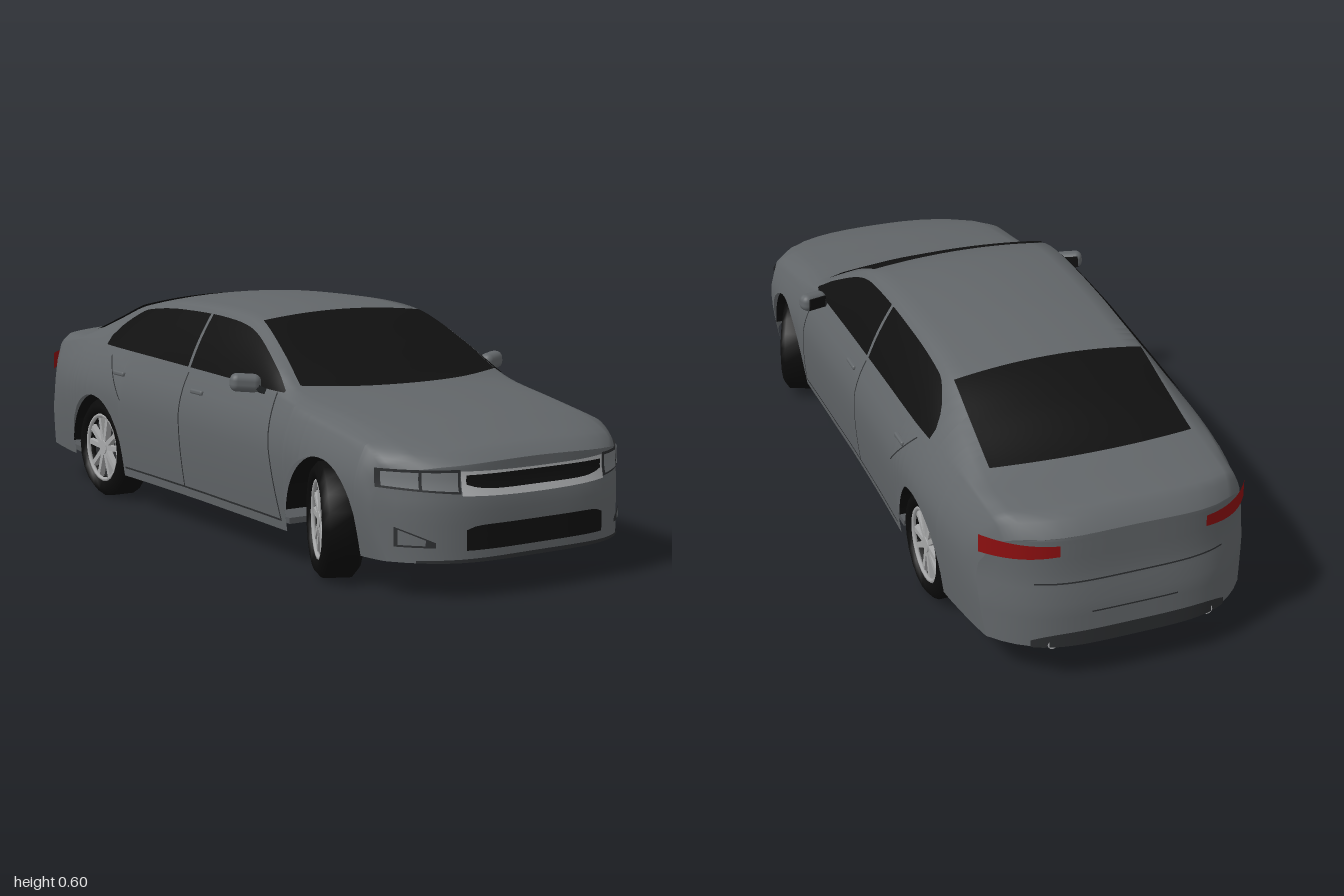
import * as THREE from 'three';
import { RoundedBoxGeometry } from 'three/addons/geometries/RoundedBoxGeometry.js';

const mat = (name, color) => new THREE.MeshStandardMaterial({ name, color, side: THREE.DoubleSide });
const lerp = THREE.MathUtils.lerp, clamp = THREE.MathUtils.clamp;

// Stations: z, half width, shoulder y, shoulder x, roof edge y, roof edge x, centre y
const STATIONS = [
  [-0.99, .345, .370, .300, .385, .260, .395], [-0.96, .350, .400, .305, .422, .265, .433],
  [-0.88, .360, .410, .310, .432, .272, .446], [-0.76, .372, .425, .318, .443, .275, .460],
  [-0.60, .385, .435, .330, .495, .262, .522], [-0.46, .386, .435, .336, .545, .252, .566],
  [-0.35, .384, .430, .338, .565, .250, .585], [-0.20, .380, .425, .338, .576, .252, .598],
  [0.05, .378, .420, .338, .576, .256, .595], [0.19, .380, .415, .340, .556, .262, .574],
  [0.35, .382, .410, .343, .482, .292, .502], [0.44, .384, .400, .347, .428, .305, .455],
  [0.50, .385, .390, .350, .410, .300, .425], [0.65, .385, .365, .350, .390, .295, .402],
  [0.80, .380, .342, .350, .364, .290, .380], [0.90, .372, .318, .350, .342, .288, .355],
  [0.96, .365, .300, .345, .322, .280, .335], [0.985, .360, .290, .335, .305, .250, .315],
];
const FRONT = 0.985, REAR = -0.99, AXLES = [0.64, -0.53], ARCH = 0.155, HUB_Y = 0.14;

// Smooth interpolation of the station table
function station(z) {
  const n = STATIONS.length;
  let i = 0;
  while (i < n - 2 && z > STATIONS[i + 1][0]) i++;
  const at = k => STATIONS[clamp(k, 0, n - 1)];
  const a = at(i), b = at(i + 1), h = b[0] - a[0], t = clamp((z - a[0]) / h, 0, 1);
  const slope = (k, c) => (at(k + 1)[c] - at(k - 1)[c]) / (at(k + 1)[0] - at(k - 1)[0]);
  const v = c => {
    const t2 = t * t, t3 = t2 * t;
    return (2 * t3 - 3 * t2 + 1) * a[c] + (t3 - 2 * t2 + t) * h * slope(i, c)
      + (3 * t2 - 2 * t3) * b[c] + (t3 - t2) * h * slope(i + 1, c);
  };
  return { W: v(1), yS: v(2), xS: v(3), yR: v(4), xR: v(5), yC: v(6) };
}

// Half width of the body at height y
function sideX(y, z) {
  const s = station(z);
  if (y > s.yS) {
    const t = clamp((y - s.yS) / (s.yR - s.yS), 0, 1);
    return lerp(s.xS, s.xR, t) + 0.006 * Math.sin(Math.PI * t);
  }
  const t = (y - 0.085) / (s.yS - 0.085);
  if (t < 0.62) return s.W * (0.95 + 0.05 * Math.sin(t / 0.62 * Math.PI / 2));
  return s.W + (s.xS - s.W) * Math.pow((t - 0.62) / 0.38, 1.8);
}
// Height of the hood, roof and boot at x
function topY(x, z) {
  const s = station(z);
  return s.yR + (s.yC - s.yR) * (1 - Math.min(1, (x / s.xR) ** 2));
}
// Rounds the nose and tail in plan and swells the bumpers
function bend(x, y, z) {
  const t = z > 0.8 ? (z - 0.8) / 0.185 : z < -0.72 ? (z + 0.72) / 0.27 : 0;
  const c = t > 0 ? 0.15 : 0.13;
  return z - t * (c * (x / station(z).W) ** 4 - 0.012 * clamp((0.27 - y) / 0.05, 0, 1));
}
// Lower edge of the body, rising over the wheels
function bottomY(z) {
  for (const w of AXLES) {
    const d = Math.abs(z - w);
    if (d <= ARCH + 1e-5) return HUB_Y + Math.sqrt(Math.max(0, ARCH * ARCH - d * d));
  }
  return z < -0.6 ? 0.1 : 0.085;
}
function halfSection(z) {
  const s = station(z), yb = bottomY(z), pts = [];
  for (let i = 0; i <= 7; i++) { const y = lerp(yb, s.yS, i / 7); pts.push([sideX(y, z), y]); }
  for (let i = 1; i <= 4; i++) { const y = lerp(s.yS, s.yR, i / 4); pts.push([sideX(y, z), y]); }
  for (let i = 1; i <= 6; i++) { const x = s.xR * (1 - i / 6); pts.push([x, topY(x, z)]); }
  return pts;
}

// Surface from rows of points
function sheet(rows) {
  const n = rows[0].length, idx = [];
  for (let i = 0; i < rows.length - 1; i++) for (let j = 0; j < n - 1; j++) {
    const a = i * n + j, b = a + n;
    idx.push(a, b, a + 1, b, b + 1, a + 1);
  }
  const g = new THREE.BufferGeometry();
  g.setAttribute('position', new THREE.Float32BufferAttribute(rows.flat(2), 3));
  g.setIndex(idx);
  g.computeVertexNormals();
  return g;
}
const patch = (fn, nu, nv) => sheet(Array.from({ length: nv + 1 }, (_, j) =>
  Array.from({ length: nu + 1 }, (_, i) => fn(i / nu, j / nv))));

export function createModel() {
  const car = new THREE.Group();
  car.name = 'car';
  const paint = mat('grey paint', 0x626669), glass = mat('black glass', 0x101010),
    rubber = mat('tyre rubber', 0x0b0b0b), alloy = mat('alloy', 0xa8a9aa),
    chrome = mat('chrome', 0xb4b6b8), lens = mat('lamp lens', 0x777b7e),
    trim = mat('dark trim', 0x2c2e30), red = mat('red lamp', 0x8c0f10), under = mat('underbody', 0x55585b);
  const add = (name, geo, m, parent = car, pos = [0, 0, 0], rot = [0, 0, 0]) => {
    const o = new THREE.Mesh(geo, m);
    o.name = name; o.position.set(...pos); o.rotation.set(...rot);
    parent.add(o);
    return o;
  };

  // Body shell
  const zs = [];
  for (let i = 0; i <= 80; i++) zs.push(lerp(REAR, FRONT, i / 80));
  for (const w of AXLES) {
    for (let k = 0; k <= 12; k++) zs.push(w + ARCH * Math.cos(k * Math.PI / 12));
    zs.push(w - ARCH - 0.001, w + ARCH + 0.001);
  }
  zs.sort((a, b) => a - b);
  add('bodyShell', sheet(zs.map(z => {
    const half = halfSection(z);
    const ring = [...half, ...half.slice(0, -1).reverse().map(([x, y]) => [-x, y])];
    return ring.map(([x, y]) => [x, y, bend(x, y, z)]);
  })), paint);
  for (const [name, z] of [['noseWall', FRONT], ['tailWall', REAR]]) {
    add(name, sheet(halfSection(z).map(([x, y]) =>
      Array.from({ length: 25 }, (_, i) => { const px = x * (i / 12 - 1); return [px, y, bend(px, y, z)]; }))), paint);
  }

  // Windscreen and rear window
  add('windscreen', patch((u, v) => {
    const k = 2 * u - 1, x = k * lerp(0.3, 0.246, v), z = lerp(0.512 - 0.07 * k * k, 0.18, v);
    return [x, topY(x, z) + 0.006, z];
  }, 20, 16), glass);
  add('rearWindow', patch((u, v) => {
    const k = 2 * u - 1, x = k * lerp(0.25, 0.262, v), z = lerp(-0.46, -0.765 + 0.03 * k * k, v);
    return [x, topY(x, z) + 0.006, z];
  }, 20, 16), glass);

  // Thin panels laid on the nose or tail between x0 and x1
  const wall = (name, m, end, x0, x1, lo, hi, off = 0.006) => add(name, patch((u, v) => {
    const x = lerp(x0, x1, u), y = lerp(lo(u), hi(u), v);
    return [x, y, bend(x, y, end) + Math.sign(end) * off];
  }, 20, 3), m);
  const arc = u => (2 * u - 1) ** 2;
  wall('grilleSurround', chrome, FRONT, -0.208, 0.208, u => 0.234 + 0.006 * arc(u), u => 0.292 + 0.004 * arc(u));
  wall('grille', glass, FRONT, -0.198, 0.198, u => 0.252 + 0.014 * arc(u) ** 3, () => 0.287, 0.009);
  wall('lowerIntake', glass, FRONT, -0.2, 0.2, () => 0.114, u => 0.172 - 0.01 * arc(u) ** 6);
  wall('chinLip', trim, FRONT, -0.3, 0.3, () => 0.086, u => 0.096 - 0.004 * arc(u));
  wall('rearDiffuser', trim, REAR, -0.25, 0.25, () => 0.101, u => 0.14 - 0.02 * arc(u) ** 3);
  wall('plateRecessLine', trim, REAR, -0.11, 0.11, () => 0.188, () => 0.192);
  wall('bootLine', trim, REAR, -0.24, 0.24, () => 0.268, () => 0.272);

  for (const s of [1, -1]) {
    const side = s > 0 ? 'left' : 'right';

    // Lamps and bumper vents
    wall(side + 'HeadlampFrame', trim, FRONT, s * 0.21, s * 0.358, u => 0.244 + 0.012 * u, () => 0.3);
    wall(side + 'HeadlampLens', lens, FRONT, s * 0.217, s * 0.288, u => 0.25 + 0.005 * u, () => 0.294, 0.0085);
    wall(side + 'IndicatorLens', lens, FRONT, s * 0.294, s * 0.351, u => 0.256 + 0.005 * u, () => 0.294, 0.0095);
    wall(side + 'FogVent', trim, FRONT, s * 0.265, s * 0.335, () => 0.122, u => 0.134 + 0.034 * u);
    wall(side + 'FogVentInset', paint, FRONT, s * 0.285, s * 0.33, () => 0.127, u => 0.14 + 0.022 * u, 0.0085);
    wall(side + 'TailLamp', red, REAR, s * 0.185, s * 0.342, u => 0.345 - 0.018 * u, () => 0.374, 0.007);

    // Side windows
    const pane = (name, z0, z1) => add(side + name, patch((u, v) => {
      const z = lerp(z0, z1, u), lo = lerp(0.437, 0.418, (z + 0.5) / 0.92);
      const hi = Math.max(lo + 0.002, Math.min(station(z).yR - 0.014, 0.44 + 0.3 * Math.sqrt(Math.max(0, z + 0.53))));
      const y = lerp(lo, hi, v);
      return [s * (sideX(y, z) + 0.005), y, z];
    }, 24, 6), glass);
    pane('FrontDoorWindow', 0.425, -0.037);
    pane('RearDoorWindow', -0.05, -0.525);

    // Door seams
    for (const [z0, z1] of [[0.465, 0.4], [-0.03, -0.04], [-0.36, -0.47]]) {
      const low = z1 === -0.47 ? 0.3 : 0.11;
      add(side + 'DoorSeam', patch((u, v) => {
        const y = lerp(low, 0.415, v), z = lerp(z0, z1, v) + 0.005 * (u - 0.5);
        return [s * (sideX(y, z) + 0.002), y, z];
      }, 1, 14), trim);
    }
    add(side + 'SillSeam', patch((u, v) => {
      const z = lerp(0.465, -0.36, u), y = 0.108 + 0.005 * v;
      return [s * (sideX(y, z) + 0.002), y, z];
    }, 24, 1), trim);

    // Door handles and mirrors
    for (const z of [0.035, -0.39]) {
      add(side + 'DoorHandle', new RoundedBoxGeometry(0.014, 0.013, 0.06, 2, 0.005), paint, car, [s * sideX(0.372, z), 0.372, z]);
    }
    add(side + 'Mirror', new RoundedBoxGeometry(0.078, 0.046, 0.042, 3, 0.018), paint, car, [s * 0.384, 0.433, 0.318], [0, s * 0.4, s * 0.08]);
    add(side + 'MirrorGlass', new THREE.BoxGeometry(0.055, 0.032, 0.004), glass, car, [s * 0.376, 0.433, 0.298], [0, s * 0.4, s * 0.08]);
    add(side + 'MirrorArm', new THREE.BoxGeometry(0.04, 0.014, 0.022), trim, car, [s * 0.348, 0.414, 0.335], [0, 0, s * 0.5]);

    // Wheels with liners; the front pair is steered
    for (const z of AXLES) {
      const front = z > 0, label = side + (front ? 'Front' : 'Rear');
      add(label + 'ArchLiner', new THREE.CylinderGeometry(ARCH, ARCH, 0.17, 24, 1, true, 0, Math.PI), rubber, car,
        [s * 0.285, HUB_Y, z], [0, 0, Math.PI / 2]);
      add(label + 'ArchWall', new THREE.CircleGeometry(ARCH, 24, 0, Math.PI), rubber, car, [s * 0.2, HUB_Y, z], [0, Math.PI / 2, 0]);
      const steer = new THREE.Group(), wheel = new THREE.Group();
      steer.name = label + 'Wheel'; wheel.name = 'wheelSpin';
      steer.position.set(s * (front ? 0.33 : 0.315), HUB_Y, z);
      steer.rotation.y = front ? -0.42 : 0;
      wheel.rotation.z = -s * Math.PI / 2;
      steer.add(wheel); car.add(steer);
      const profile = [[.096, -.03], [.1, -.046], [.122, -.05], [.14, -.034], [.14, .034], [.122, .05], [.1, .046], [.096, .02]];
      add('tyre', new THREE.LatheGeometry(profile.map(p => new THREE.Vector2(...p)), 20), rubber, wheel);
      add('wheelBarrel', new THREE.CylinderGeometry(0.097, 0.097, 0.04, 20), trim, wheel, [0, -0.005, 0]);
      add('rimRing', new THREE.TorusGeometry(0.093, 0.006, 6, 24), alloy, wheel, [0, 0.038, 0], [Math.PI / 2, 0, 0]);
      add('hub', new THREE.CylinderGeometry(0.02, 0.025, 0.024, 12), alloy, wheel, [0, 0.028, 0]);
      for (let k = 0; k < 10; k++) {
        const a = (Math.floor(k / 2) + (k % 2 ? 0.2 : -0.2)) * Math.PI * 0.4;
        add('spoke', new THREE.BoxGeometry(0.078, 0.016, 0.014), alloy, wheel,
          [Math.cos(a) * 0.055, 0.03, -Math.sin(a) * 0.055], [0, a, 0]);
      }
    }

    // Exhaust
    add(side + 'ExhaustTip', new THREE.CylinderGeometry(0.013, 0.013, 0.07, 12), chrome, car, [s * 0.2, 0.108, -0.955], [Math.PI / 2, 0, 0]);
    add(side + 'Muffler', new RoundedBoxGeometry(0.13, 0.03, 0.1, 2, 0.012), alloy, car, [s * 0.2, 0.1, -0.83]);
  }

  // Floor with wheel cut-outs
  const half = [[0, .98], [.2, .965], [.29, .915], [.335, .85], [.35, .8], [.2, .797], [.2, .483], [.358, .483],
    [.358, -.373], [.2, -.373], [.2, -.687], [.345, -.687], [.325, -.88], [.26, -.94], [0, -.975]];
  const outline = [...half, ...half.slice(1, -1).reverse().map(([x, z]) => [-x, z])];
  add('floor', new THREE.ExtrudeGeometry(new THREE.Shape(outline.map(p => new THREE.Vector2(...p))),
    { depth: 0.015, bevelEnabled: false }), under, car, [0, 0.117, 0], [Math.PI / 2, 0, 0]);

  // Running gear
  for (const z of AXLES) add('axle', new THREE.CylinderGeometry(0.015, 0.015, 0.56, 10), alloy, car, [0, 0.13, z], [0, 0, Math.PI / 2]);
  for (const x of [-0.03, 0.03]) add('exhaustPipe', new THREE.CylinderGeometry(0.009, 0.009, 0.5, 8), alloy, car, [x, 0.1, -0.56], [Math.PI / 2, 0, 0]);
  add('crossPipe', new THREE.CylinderGeometry(0.009, 0.009, 0.3, 8), alloy, car, [0, 0.1, -0.81], [0, 0, Math.PI / 2]);
  add('rearSubframe', new THREE.BoxGeometry(0.36, 0.014, 0.05), under, car, [0, 0.1, -0.46]);
  return car;
}
